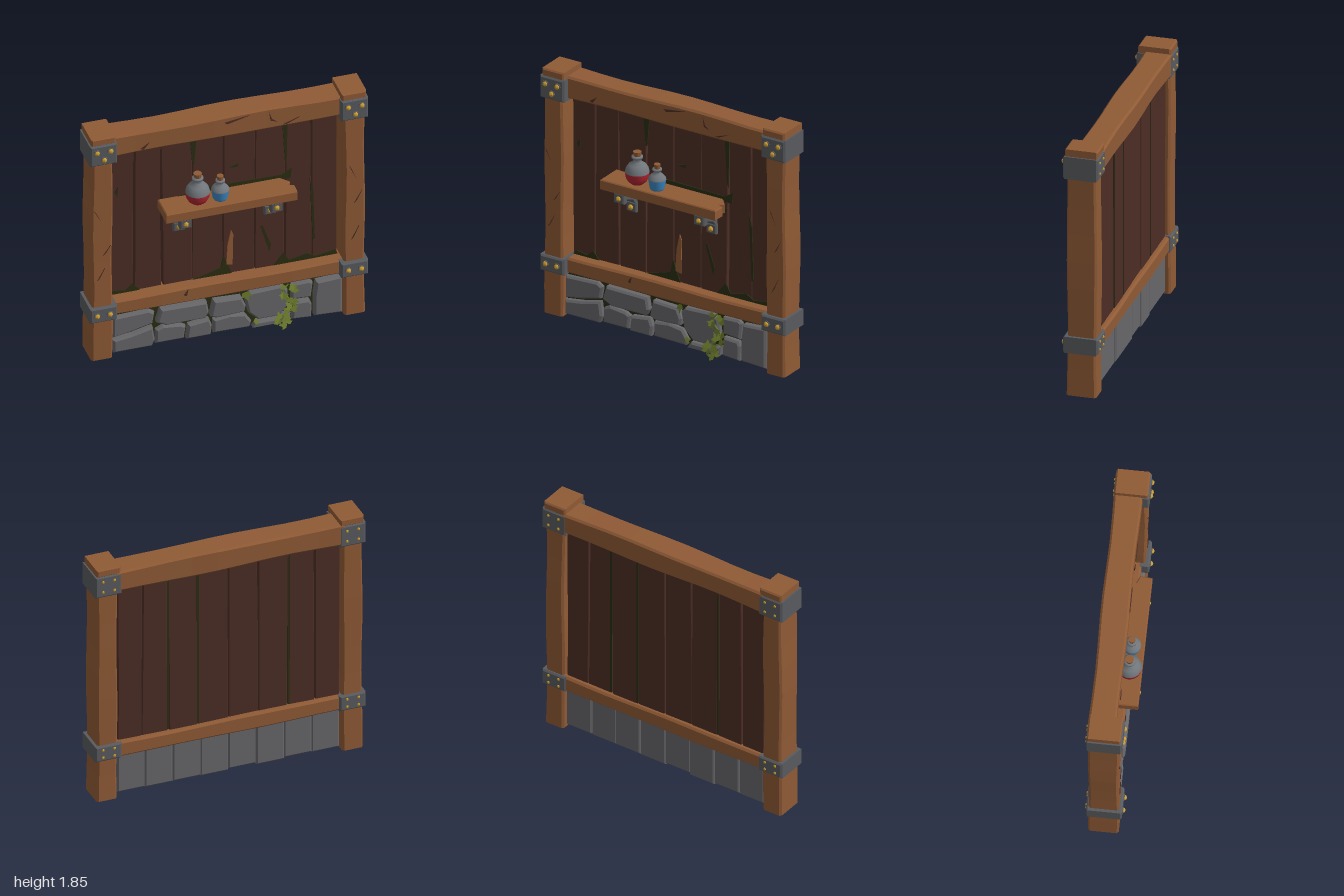
import * as THREE from 'three';

const mat = (name, color, side = THREE.FrontSide, flatShading = true) => {
  const m = new THREE.MeshStandardMaterial({ color, side, flatShading });
  m.name = name;
  return m;
};

export function createModel() {
  const M = {
    wood: mat('oak wood', 0x8f5a35),
    plank: mat('dark plank', 0x4c2d25),
    stone: mat('stone', 0x67676a),
    iron: mat('iron', 0x585a5e),
    gold: mat('brass', 0xc79a32),
    moss: mat('dark moss', 0x2a2d12),
    leaf: mat('ivy leaf', 0x6b7a2c, THREE.DoubleSide),
    glass: mat('glass', 0x70767b, THREE.DoubleSide, false),
    red: mat('red potion', 0xae2530, THREE.FrontSide, false),
    blue: mat('blue potion', 0x3b88c4, THREE.FrontSide, false),
  };
  const root = new THREE.Group();
  root.name = 'wallPanel';
  const add = (name, geo, material, x = 0, y = 0, z = 0, parent = root) => {
    const mesh = new THREE.Mesh(geo, material);
    mesh.name = name;
    mesh.position.set(x, y, z);
    parent.add(mesh);
    return mesh;
  };

  // Outline in x,y extruded from z0 to z1, with optional chamfer
  const outline = (pts) => new THREE.Shape(pts.map(([x, y]) => new THREE.Vector2(x, y)));
  const slab = (pts, z0, z1, b = 0) => {
    const g = new THREE.ExtrudeGeometry(outline(pts), {
      depth: z1 - z0 - 2 * b, bevelEnabled: b > 0, bevelSize: b,
      bevelThickness: b, bevelOffset: -b, bevelSegments: 1,
    });
    return g.translate(0, 0, z0 + b);
  };
  const rect = (x0, y0, x1, y1) => [[x0, y0], [x1, y0], [x1, y1], [x0, y1]];
  const block = (x0, x1, y0, y1, z0, z1, b) => slab(rect(x0, y0, x1, y1), z0, z1, b);

  // Chamfered timber, slightly crooked along its length (+z)
  const timber = (w, d, len, wob, seed) => {
    const a = w / 2, b = d / 2, c = 0.014;
    const g = new THREE.ExtrudeGeometry(outline([
      [-a + c, -b], [a - c, -b], [a, -b + c], [a, b - c], [a - c, b], [-a + c, b], [-a, b - c], [-a, -b + c],
    ]), { depth: len, steps: 9, bevelEnabled: false });
    const p = g.attributes.position;
    for (let i = 0; i < p.count; i++) {
      const t = p.getZ(i) * 5 + seed;
      p.setX(i, p.getX(i) + wob * Math.sin(t * 1.3 + Math.sign(p.getX(i))));
      p.setY(i, p.getY(i) + wob * Math.sin(t + 2 * Math.sign(p.getY(i))));
    }
    g.translate(0, 0, -len / 2);
    g.computeVertexNormals();
    return g;
  };

  // Frame: posts, caps and rails
  for (const s of [-1, 1]) {
    add('post', timber(0.15, 0.208, 1.8, 0.004, s).rotateX(-Math.PI / 2), M.wood, s * 0.904, 0.9, -0.03);
    add('postCap', block(-0.088, 0.088, 1.78, 1.84, -0.145, 0.088, 0.01), M.wood, s * 0.898);
  }
  add('topRail', timber(0.19, 0.163, 1.68, 0.005, 1).rotateY(Math.PI / 2), M.wood, 0, 1.72, -0.05);
  add('lowerRail', timber(0.185, 0.118, 1.68, 0.003, 3).rotateY(Math.PI / 2), M.wood, 0, 0.382, -0.047);

  // Iron collars with brass rivets on the front and back
  const rivet = new THREE.SphereGeometry(0.02, 8, 6);
  const smallRivet = new THREE.SphereGeometry(0.012, 6, 5);
  const rivetsTop = [[-0.05, 0.03], [0.048, 0.03], [0.002, -0.035]];
  const rivetsLow = [[-0.048, 0], [0.044, 0]];
  for (const s of [-1, 1]) {
    for (const [y, h, rivets] of [[1.705, 0.166, rivetsTop], [0.382, 0.12, rivetsLow]]) {
      const collar = new THREE.Group();
      collar.name = 'ironCollar';
      collar.position.set(s * 0.9, y, 0);
      root.add(collar);
      add('collarBand', block(-0.097, 0.097, -h / 2, h / 2, -0.15, 0.098, 0.011), M.iron, 0, 0, 0, collar);
      for (const [rx, ry] of rivets) {
        add('rivetSeat', new THREE.CylinderGeometry(0.024, 0.026, 0.008, 8).rotateX(Math.PI / 2), M.iron, rx, ry, 0.1, collar);
        add('rivet', rivet, M.gold, rx, ry, 0.1, collar);
      }
      for (const i of [-1, 1]) for (const j of [-1, 1])
        add('backRivet', smallRivet, M.gold, i * 0.042, j * h * 0.24, -0.148, collar);
    }
  }

  // Planks; each joint is [top x, bottom x, half gap at top, half gap at bottom]
  const joints = [
    [-0.826, -0.82, 0.003, 0.003], [-0.635, -0.638, 0.006, 0.004], [-0.448, -0.436, 0.001, 0.006],
    [-0.218, -0.222, 0.007, 0.001], [0.002, 0, 0.005, 0.003], [0.232, 0.225, 0.001, 0.002],
    [0.452, 0.44, 0.001, 0.006], [0.632, 0.64, 0.006, 0.002], [0.822, 0.82, 0.006, 0.006],
  ];
  for (let i = 0; i < 8; i++) {
    const [lt, lb, lgt, lgb] = joints[i], [rt, rb, rgt, rgb] = joints[i + 1];
    const j = (i % 3) * 0.004;
    add('plank', slab([
      [lb + lgb, 0.4], [rb - rgb, 0.4], [(rt + rb) / 2 - rgb - 0.002, 0.95], [rt - rgt, 1.68],
      [lt + lgt, 1.68], [(lt + lb) / 2 + lgb, 1.1],
    ], -0.105 - j / 2, -0.05 + j, 0.004), M.plank);
  }

  // Moss patches growing over joints and ledges
  const mossPatches = [
    [[-0.815, 0.44], [-0.6, 0.44], [-0.65, 0.5], [-0.7, 0.455], [-0.78, 0.47]],
    [[-0.24, 0.44], [0.06, 0.44], [0.03, 0.52], [0.0, 0.6], [-0.02, 0.5], [-0.15, 0.46]],
    [[0.36, 0.44], [0.82, 0.44], [0.8, 0.48], [0.66, 0.455], [0.6, 0.49], [0.47, 0.46], [0.43, 0.53]],
    [[0.33, 0.56], [0.34, 0.62], [0.28, 0.79], [0.265, 0.78], [0.3, 0.66]],
    [[-0.44, 1.09], [0.44, 1.09], [0.42, 1.04], [0.36, 1.07], [-0.25, 1.06], [-0.4, 1.045]],
    [[-0.42, 1.14], [0.48, 1.14], [0.49, 1.22], [0.42, 1.18], [0.1, 1.185], [-0.15, 1.19]],
    [[-0.245, 1.65], [-0.19, 1.65], [-0.21, 1.4], [-0.222, 1.4]],
    [[0.42, 1.65], [0.46, 1.65], [0.452, 1.25], [0.44, 1.3]],
    [[0.62, 1.1], [0.64, 0.6], [0.655, 0.6], [0.643, 1.0]],
    [[0.04, 1.32], [0.11, 1.34], [0.1, 1.31]],
    [[-0.78, 1.28], [-0.755, 1.32], [-0.76, 1.24]],
  ];
  mossPatches.forEach((p) => add('mossPatch', slab(p, -0.045, -0.037), M.moss));
  for (const x of [-0.44, 0.228, 0.447])
    add('backMoss', block(x - 0.007, x + 0.007, 0.45, 1.62, -0.112, -0.106, 0), M.moss);
  add('splinter', slab([[0.02, 0.52], [0.065, 0.51], [0.07, 0.76], [0.055, 0.8], [0.03, 0.68]], -0.045, -0.036), M.wood);

  // Cracks in the timber faces
  const cracks = [
    [[0.3, 1.78], [0.32, 1.72], [0.36, 1.69], [0.31, 1.71]], [[-0.02, 1.76], [0.16, 1.785], [0.0, 1.745]],
    [[-0.62, 1.67], [-0.56, 1.71], [-0.6, 1.66]], [[0.4, 1.66], [0.52, 1.7], [0.43, 1.66]],
    [[-0.31, 0.39], [-0.28, 0.43], [-0.29, 0.38]],
  ];
  cracks.forEach((c) => add('railCrack', slab(c, 0.046, 0.052), M.plank));
  for (const [x, y, dy] of [[-0.97, 1.25, -0.1], [-0.94, 0.66, 0.1], [-0.9, 0.86, 0.08], [0.86, 1.24, -0.12], [0.9, 0.92, 0.1], [0.88, 0.62, 0.11]])
    add('postCrack', slab([[x, y], [x + 0.055, y + dy], [x + 0.02, y + dy * 0.25]], 0.075, 0.081), M.plank);

  // Stone footing: squared blocks behind, rounded rubble in front
  for (let i = 0; i < 8; i++) {
    const x = -0.82 + i * 0.205, y = 0.02 + (i % 2) * 0.008;
    add('footingBlock', block(x, x + 0.205, y, 0.335, -0.105 - (i % 3) * 0.005, 0.01, 0.01), M.stone);
  }
  add('mortar', block(-0.82, 0.82, 0.025, 0.33, 0.008, 0.016, 0), M.moss);
  const rubble = [
    [[-0.82, 0.14], [-0.7, 0.16], [-0.535, 0.2], [-0.52, 0.29], [-0.56, 0.315], [-0.82, 0.305]],
    [[-0.82, 0.02], [-0.54, 0.02], [-0.52, 0.07], [-0.535, 0.18], [-0.68, 0.145], [-0.82, 0.125]],
    [[-0.51, 0.21], [-0.44, 0.175], [-0.16, 0.175], [-0.135, 0.22], [-0.15, 0.31], [-0.48, 0.315]],
    [[-0.515, 0.03], [-0.31, 0.03], [-0.295, 0.13], [-0.33, 0.15], [-0.46, 0.165], [-0.51, 0.14]],
    [[-0.295, 0.025], [-0.12, 0.025], [-0.11, 0.1], [-0.13, 0.16], [-0.28, 0.14]],
    [[-0.125, 0.18], [-0.08, 0.16], [0.12, 0.17], [0.13, 0.22], [0.1, 0.295], [-0.1, 0.305]],
    [[-0.1, 0.03], [0.16, 0.025], [0.175, 0.07], [0.13, 0.14], [0.02, 0.155], [-0.1, 0.14]],
    [[0.15, 0.15], [0.22, 0.08], [0.37, 0.08], [0.44, 0.16], [0.43, 0.29], [0.38, 0.325], [0.16, 0.315], [0.125, 0.27]],
    [[0.18, 0.02], [0.44, 0.02], [0.45, 0.09], [0.4, 0.085], [0.36, 0.07], [0.21, 0.07]],
    [[0.46, 0.19], [0.6, 0.18], [0.615, 0.3], [0.59, 0.32], [0.46, 0.315]],
    [[0.46, 0.03], [0.6, 0.02], [0.605, 0.13], [0.59, 0.165], [0.47, 0.17]],
    [[0.62, 0.03], [0.82, 0.02], [0.82, 0.32], [0.635, 0.31], [0.62, 0.2]],
  ];
  rubble.forEach((p, i) => add('rubbleStone', slab(p, -0.01, 0.052 + (i % 3) * 0.008, 0.014), M.stone));

  // Ivy trailing over the stones
  const vine = new THREE.CatmullRomCurve3([[0.43, 0.34], [0.39, 0.28], [0.45, 0.2], [0.46, 0.13], [0.4, 0.09], [0.37, 0.03]]
    .map(([x, y]) => new THREE.Vector3(x, y, 0.068)));
  add('vine', new THREE.TubeGeometry(vine, 18, 0.006, 5), M.leaf);
  const leafGeo = new THREE.ShapeGeometry(outline([[0, -0.026], [0.022, -0.022], [0.034, 0.006], [0.014, 0.006], [0, 0.036], [-0.014, 0.006], [-0.034, 0.006], [-0.022, -0.022]]));
  [[0.39, 0.33], [0.45, 0.315], [0.4, 0.25], [0.47, 0.3], [0.38, 0.265], [0.44, 0.21], [0.47, 0.14], [0.43, 0.17], [0.41, 0.135], [0.48, 0.19],
    [0.36, 0.1], [0.41, 0.075], [0.36, 0.04], [0.43, 0.045], [0.39, 0.02], [0.13, 0.31], [0.2, 0.09], [0.34, 0.065]]
    .forEach(([x, y], i) => {
      const leaf = add('ivyLeaf', leafGeo, M.leaf, x, y, 0.077 + (i % 3) * 0.005);
      leaf.rotation.set(-0.35, Math.sin(i * 2) * 0.4, i * 1.9);
      leaf.scale.setScalar(0.75 + (i % 4) * 0.12);
    });

  // Shelf board, with a broken back corner
  add('shelf', slab([[-0.47, 0.05], [-0.47, -0.155], [0.47, -0.155], [0.475, -0.07], [0.43, -0.05], [0.46, -0.02], [0.4, 0.05]], 1.08, 1.157, 0.007)
    .rotateX(-Math.PI / 2), M.wood);

  // Shelf brackets: front tab, curved strut and wall plate
  for (const s of [-1, 1]) {
    const bracket = new THREE.Group();
    bracket.name = 'shelfBracket';
    bracket.position.x = s * 0.326;
    root.add(bracket);
    add('frontTab', block(-0.042, 0.042, 1.005, 1.082, 0.09, 0.143, 0.008), M.iron, 0, 0, 0, bracket);
    add('wallPlate', block(-0.04, 0.04, 0.885, 0.96, -0.06, -0.012, 0.008), M.iron, 0, 0, 0, bracket);
    const strut = [[-0.1, 1.08], [-0.1, 1.03], [-0.02, 1.0], [0.025, 0.95], [0.03, 0.9], [0.055, 0.9], [0.055, 1.08]];
    add('strut', slab(strut, -0.036, 0.036).rotateY(Math.PI / 2), M.iron, 0, 0, 0, bracket);
    add('tabRivet', rivet, M.gold, 0, 1.042, 0.141, bracket);
    add('plateRivet', rivet, M.gold, 0, 0.922, -0.01, bracket);
  }

  // Potions: liquid, glass neck and cork turned from profiles
  const lathe = (pts) => new THREE.LatheGeometry(pts.map(([r, y]) => new THREE.Vector2(r, y)), 18);
  const potion = (name, x, liquid, low, high, cork) => {
    const g = new THREE.Group();
    g.name = name;
    g.position.set(x, 1.157, 0.07);
    root.add(g);
    add('liquid', lathe(low), liquid, 0, 0, 0, g);
    add('glass', lathe(high), M.glass, 0, 0, 0, g);
    add('cork', new THREE.CylinderGeometry(cork[0], cork[0] * 0.8, cork[2] - cork[1], 10), M.wood, 0, (cork[1] + cork[2]) / 2, 0, g);
  };
  potion('redPotion', -0.22, M.red,
    [[0, 0], [0.04, 0.002], [0.066, 0.024], [0.081, 0.053], [0.085, 0.09]],
    [[0.085, 0.09], [0.078, 0.122], [0.058, 0.148], [0.03, 0.166], [0.027, 0.19], [0.04, 0.194], [0.04, 0.208], [0.024, 0.21]],
    [0.03, 0.195, 0.242]);
  potion('bluePotion', -0.058, M.blue,
    [[0, 0], [0.045, 0], [0.052, 0.012], [0.063, 0.076]],
    [[0.063, 0.076], [0.06, 0.088], [0.04, 0.112], [0.022, 0.12], [0.021, 0.138], [0.034, 0.142], [0.034, 0.154], [0.018, 0.156]],
    [0.024, 0.145, 0.188]);

  return root;
}
